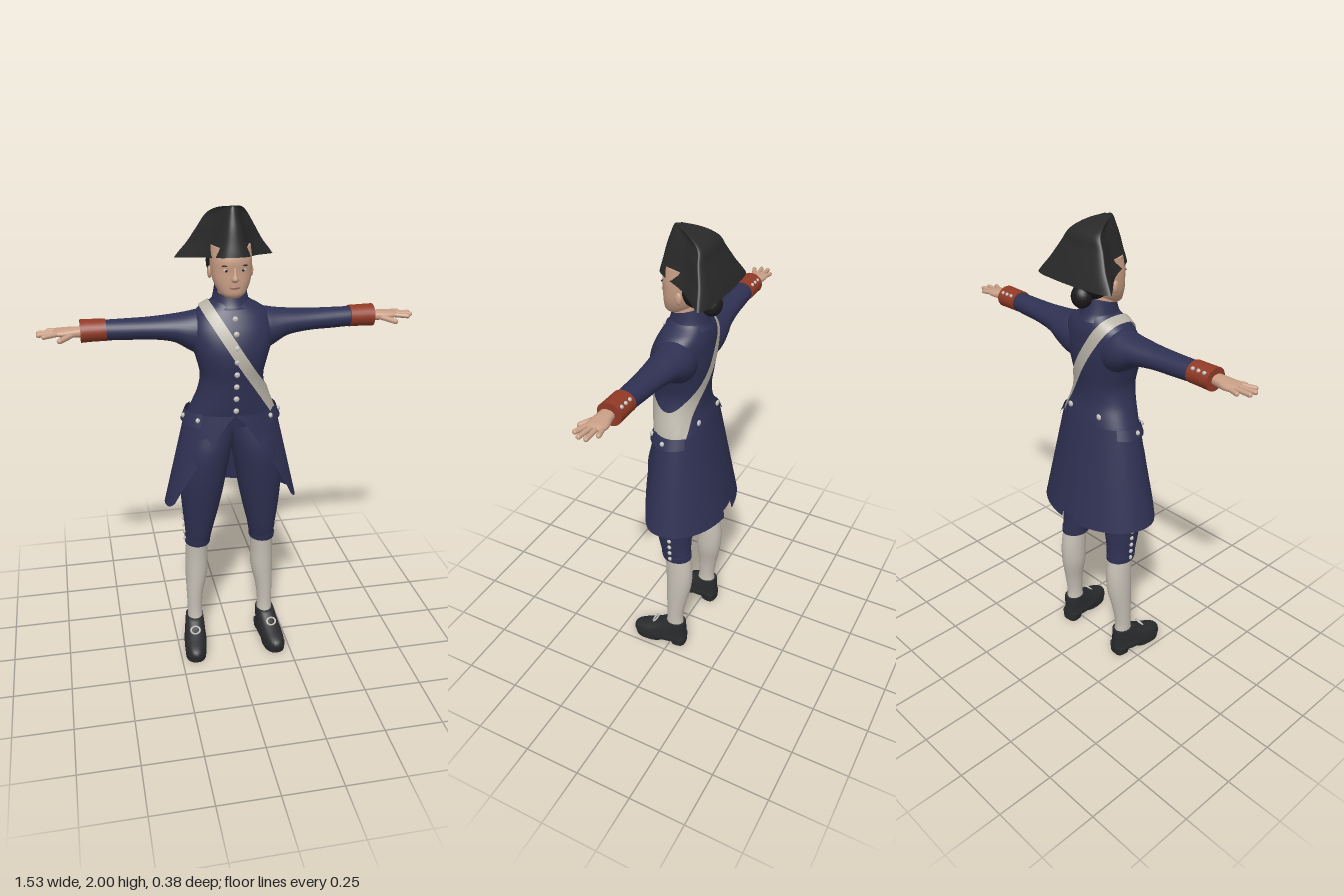
import * as THREE from 'three';
import { toCreasedNormals } from 'three/addons/utils/BufferGeometryUtils.js';

const mat = (name, color, side = THREE.FrontSide) => {
  const m = new THREE.MeshStandardMaterial({ color, side });
  m.name = name;
  return m;
};
const V = (x, y, z) => new THREE.Vector3(x, y, z);

// Smooth lookup in rows keyed by their first column
function at(rows, k) {
  let i = 0;
  while (i < rows.length - 2 && k > rows[i + 1][0]) i++;
  const a = rows[Math.max(i - 1, 0)], b = rows[i], c = rows[i + 1], d = rows[Math.min(i + 2, rows.length - 1)];
  const h = c[0] - b[0], t = (k - b[0]) / h;
  return b.map((p, j) => {
    const m0 = (c[j] - a[j]) / (c[0] - a[0]) * h, m1 = (d[j] - p) / (d[0] - b[0]) * h, e = c[j] - p;
    return p + t * (m0 + t * (3 * e - 2 * m0 - m1 + t * (m0 + m1 - 2 * e)));
  });
}

// Point on an oval section: row = [key, min, max, zBack, zFront]
function onOval(r, phi, p = 2, alongX = false) {
  const f = v => Math.sign(v) * Math.abs(v) ** (2 / p);
  const s = f(Math.sin(phi)), c = f(Math.cos(phi));
  const mix = (lo, hi, v) => (lo + hi) / 2 + (hi - lo) / 2 * v;
  return alongX ? V(r[0], mix(r[1], r[2], c), mix(r[3], r[4], s))
    : V(mix(r[1], r[2], s), r[0], mix(r[3], r[4], c));
}

// Skin over rows of points; closed skins get end caps
function skin(rings, closed = true) {
  const n = rings[0].length, pos = [], put = (...ps) => ps.forEach(p => pos.push(p.x, p.y, p.z));
  for (let j = 0; j < rings.length - 1; j++) {
    for (let i = 0; i < (closed ? n : n - 1); i++) {
      const k = (i + 1) % n, a = rings[j][i], b = rings[j][k], c = rings[j + 1][k], d = rings[j + 1][i];
      put(a, b, c, a, c, d);
    }
  }
  if (closed) {
    [rings[0], rings[rings.length - 1]].forEach((r, end) => {
      const m = r.reduce((s, p) => s.add(p), V(0, 0, 0)).divideScalar(n);
      r.forEach((p, i) => end ? put(p, r[(i + 1) % n], m) : put(r[(i + 1) % n], p, m));
    });
  }
  const g = new THREE.BufferGeometry();
  g.setAttribute('position', new THREE.Float32BufferAttribute(pos, 3));
  g.scale(100, 100, 100); // crease matching works on a coarse grid
  return toCreasedNormals(g, 0.9).scale(0.01, 0.01, 0.01);
}

function loft(rows, { steps = 24, n = 32, p = 2, alongX = false } = {}) {
  const k0 = rows[0][0], k1 = rows[rows.length - 1][0];
  return skin(Array.from({ length: steps + 1 }, (_, j) => {
    const r = at(rows, k0 + (k1 - k0) * j / steps);
    return Array.from({ length: n }, (_, i) => onOval(r, i / n * Math.PI * 2, p, alongX));
  }));
}

// Open sheet from a function of u, v in 0..1
const sheet = (f, nu, nv) => skin(Array.from({ length: nv + 1 }, (_, j) =>
  Array.from({ length: nu + 1 }, (_, i) => f(i / nu, j / nv))), false);

const ball = (x, y, z, rx, ry = rx, rz = rx, n = 16) =>
  new THREE.SphereGeometry(1, n, Math.max(6, Math.floor(n * 0.6))).scale(rx, ry, rz).translate(x, y, z);

function finger(a, b, r) {
  const d = b.clone().sub(a);
  return new THREE.CapsuleGeometry(r, d.length(), 4, 10)
    .applyQuaternion(new THREE.Quaternion().setFromUnitVectors(V(0, 1, 0), d.clone().normalize()))
    .translate((a.x + b.x) / 2, (a.y + b.y) / 2, (a.z + b.z) / 2);
}

// Copy across x = 0, with the winding turned back outwards
function mirrored(geo) {
  const g = geo.index ? geo.toNonIndexed() : geo.clone();
  for (const a of Object.values(g.attributes)) {
    for (let i = 0; i < a.count; i += 3) {
      for (let c = 0; c < a.itemSize; c++) {
        const t = a.getComponent(i + 1, c);
        a.setComponent(i + 1, c, a.getComponent(i + 2, c));
        a.setComponent(i + 2, c, t);
      }
    }
  }
  for (const a of [g.attributes.position, g.attributes.normal]) {
    for (let i = 0; i < a.count; i++) a.setX(i, -a.getX(i));
  }
  return g;
}

const TORSO = [[1.12, .186, -.11, .112], [1.16, .182, -.108, .118], [1.2, .166, -.1, .124], [1.26, .142, -.086, .13],
  [1.33, .13, -.085, .137], [1.4, .145, -.094, .147], [1.46, .162, -.1, .144], [1.52, .168, -.1, .128], [1.57, .155, -.098, .105],
  [1.6, .13, -.09, .088], [1.625, .085, -.08, .072], [1.645, .062, -.072, .06]].map(([y, w, b, f]) => [y, -w, w, b, f]);

export function createModel() {
  const root = new THREE.Group();
  const navy = mat('navy cloth', 0x2f3153, THREE.DoubleSide), red = mat('red cuff', 0x913a26);
  const skinTone = mat('skin', 0xc99f86), white = mat('stocking white', 0xc6c0b5);
  const strap = mat('strap white', 0xbab5a9, THREE.DoubleSide), black = mat('black felt', 0x292929);
  const dark = mat('dark hair', 0x1d1b1b), leather = mat('shoe leather', 0x2a2b2d);
  const silver = mat('silver', 0xc2c0bc), lip = mat('lips', 0xa06a5a);
  const add = (name, geo, m) => {
    const mesh = new THREE.Mesh(geo, m);
    mesh.name = name;
    root.add(mesh);
  };
  const pair = (name, geo, m) => {
    add(name + 'Left', geo, m);
    add(name + 'Right', mirrored(geo), m);
  };

  // Coat body and standing collar
  add('coatBody', loft(TORSO, { steps: 44, n: 48, p: 2.2 }), navy);
  add('collar', sheet((u, v) => {
    const phi = u * Math.PI * 2, r = .086 - .022 * Math.sqrt(v);
    return V(r * Math.sin(phi), 1.61 + v * (.07 - .022 * Math.cos(phi)), -.003 + r * 1.08 * Math.cos(phi));
  }, 40, 6), navy);

  // Coat skirts, cut away in front and vented behind
  const skirt = (phi, s, grow) => {
    const w = .186 + .1 * s + grow, z = Math.cos(phi);
    return V(w * Math.sin(phi), 1.175 - s * (.433 - .012 * z), z * ((z > 0 ? .12 + .05 * s : .112 + .08 * s) + grow));
  };
  pair('coatSkirt', sheet((u, v) => {
    const s = 1 - v, a = 1.12 * s ** 0.75, b = Math.PI - .13 * s;
    return skirt(a + (b - a) * u, s - .05 * s * Math.max(0, 1 - u * 9) ** 2, .003);
  }, 40, 20), navy);
  add('ventPleat', sheet((u, v) => skirt(Math.PI + (u - .5) * .7, (1 - v) * .97, -.012), 8, 10), navy);
  pair('pocketFlap', sheet((u, v) => skirt(.75 + 1.4 * u, .13 * (1 - v) * (1 - .25 * u) - .01, .007 + .008 * (1 - v)), 16, 3), navy);

  // Sleeves, cuffs and hands
  pair('sleeve', loft([[.08, 1.4, 1.59, -.085, .075], [.13, 1.41, 1.594, -.092, .078], [.18, 1.438, 1.585, -.088, .07],
    [.23, 1.468, 1.579, -.078, .06], [.32, 1.484, 1.573, -.064, .049], [.42, 1.488, 1.572, -.055, .043],
    [.51, 1.492, 1.572, -.048, .04]], { alongX: true, steps: 30 }), navy);
  pair('cuff', loft([[.497, 1.49, 1.577, -.053, .046], [.55, 1.49, 1.578, -.053, .046], [.597, 1.488, 1.579, -.053, .047]],
    { alongX: true, steps: 4 }), red);
  pair('hand', loft([[.58, 1.514, 1.552, -.022, .03], [.62, 1.513, 1.552, -.03, .034], [.66, 1.517, 1.549, -.041, .038],
    [.69, 1.522, 1.546, -.04, .035], [.7, 1.527, 1.541, -.034, .029]], { alongX: true, steps: 14, p: 2.4 }), skinTone);
  [[.69, .027, .737, .045], [.695, .009, .757, .018], [.695, -.012, .757, -.012], [.685, -.031, .72, -.038]].forEach(
    ([x0, z0, x1, z1]) => pair('finger', finger(V(x0, 1.534, z0), V(x1, 1.532, z1), .0095), skinTone));
  pair('thumb', finger(V(.63, 1.528, .026), V(.678, 1.518, .064), .011), skinTone);

  // Shoulder strap wrapped around the torso on a slanted plane
  const strapPoint = (phi, d) => {
    const P = (y, turn = 0) => onOval(at(TORSO, y), phi + turn, 2.2);
    let lo = 1.12, hi = 1.645;
    for (let i = 0; i < 30; i++) {
      const y = (lo + hi) / 2;
      if (y + 1.6 * P(y).x < 1.45 + d) lo = y; else hi = y;
    }
    const across = P(lo, .02).sub(P(lo, -.02)), up = P(lo + .003).sub(P(lo - .003));
    return P(lo).addScaledVector(across.cross(up).normalize(), .007);
  };
  add('shoulderStrap', sheet((u, v) => strapPoint(u * Math.PI * 2 + .01, (v - .5) * .085), 96, 4), strap);

  // Breeches, stockings and shoes
  pair('breeches', loft([[.53, .092, .2, -.082, .045], [.6, .08, .203, -.08, .065], [.7, .056, .213, -.085, .085],
    [.8, .035, .22, -.095, .105], [.9, .018, .218, -.1, .12], [1, 0, .205, -.1, .128], [1.08, -.02, .185, -.098, .118],
    [1.15, -.03, .165, -.09, .105]], { steps: 28 }), navy);
  pair('kneeBand', loft([[.525, .091, .203, -.085, .047], [.55, .089, .205, -.085, .053]], { steps: 2 }), navy);
  pair('stocking', loft([[.08, .13, .2, -.06, .04], [.12, .13, .199, -.056, .028], [.17, .132, .198, -.053, .022],
    [.25, .125, .2, -.066, .024], [.36, .103, .202, -.088, .028], [.45, .1, .2, -.092, .03], [.54, .1, .196, -.08, .036]]), white);
  const turnOut = g => g.translate(-.165, 0, 0).rotateY(.11).translate(.168, 0, 0);
  pair('shoe', turnOut(loft([[.022, .118, .214, -.068, .188], [.04, .115, .217, -.07, .19], [.06, .118, .214, -.07, .175],
    [.08, .12, .212, -.069, .125], [.1, .122, .21, -.068, .08], [.13, .126, .206, -.066, .035]], { p: 2.3, steps: 16 })), leather);
  pair('sole', turnOut(loft([[0, .12, .213, .035, .18], [.03, .117, .216, 0, .19]], { p: 2.4, steps: 3 })), leather);
  pair('heel', turnOut(loft([[0, .128, .204, -.068, 0], [.04, .122, .21, -.07, .012]], { p: 3, steps: 3 })), leather);
  pair('shoeBuckle', turnOut(new THREE.TorusGeometry(.017, .004, 6, 16).scale(1.2, 1, 1).rotateX(-.75).translate(.166, .107, .083)), silver);

  // Buttons
  for (let i = 0; i < 8; i++) {
    const y = 1.2 + i * .054;
    add('frontButton', ball(0, y, at(TORSO, y)[4] + .003, .012, .012, .007, 12), silver);
  }
  for (let i = 0; i < 5; i++) pair('kneeButton', ball(.203 + i * .002, .545 + i * .035, -.012, .007, .01, .01, 10), silver);
  for (let i = 0; i < 3; i++) pair('cuffButton', ball(.52 + i * .027, 1.562, -.04, .009, .008, .008, 10), silver);
  pair('backButton', ball(.085, 1.22, -.091, .013, .013, .007, 12), silver);
  for (const phi of [.85, 1.45]) {
    const p = skirt(phi, .05, .012);
    pair('flapButton', ball(p.x, p.y, p.z, .01, .011, .01, 10), silver);
  }

  // Head and face
  add('neck', new THREE.CylinderGeometry(.05, .055, .12, 24).translate(0, 1.65, .005), skinTone);
  add('head', loft([[1.655, -.028, .028, .03, .082], [1.668, -.048, .048, 0, .093], [1.69, -.063, .063, -.03, .096],
    [1.72, -.075, .075, -.05, .097], [1.76, -.081, .081, -.07, .097], [1.8, -.082, .082, -.08, .099],
    [1.85, -.078, .078, -.08, .085]], { p: 2.2 }), skinTone);
  add('nose', loft([[1.721, -.01, .01, .07, .1], [1.73, -.016, .016, .07, .115], [1.75, -.01, .01, .07, .109],
    [1.778, -.008, .008, .07, .099]], { n: 16, steps: 10 }), skinTone);
  pair('ear', ball(.083, 1.745, 0, .009, .025, .015), skinTone);
  pair('eye', ball(.033, 1.767, .089, .013, .006, .005, 12), white);
  pair('pupil', ball(.033, 1.767, .0935, .005, .005, .002, 10), dark);
  pair('brow', ball(.034, 1.785, .09, .018, .0035, .005, 10), dark);
  add('mouth', ball(0, 1.7, .094, .022, .006, .005, 12), lip);
  add('hair', ball(0, 1.775, -.047, .089, .085, .075, 28), dark);
  add('hairBun', ball(0, 1.71, -.1, .044, .046, .04, 24), dark);

  // Cocked hat: rounded triangular sections rising to a forward peak
  const HAT = [[1.79, .203, .112, -.165], [1.81, .188, .108, -.158], [1.85, .154, .099, -.142], [1.91, .115, .086, -.115],
    [1.96, .081, .071, -.092], [1.988, .05, .062, -.03], [2, .02, .056, .035]];
  add('cockedHat', skin(Array.from({ length: 25 }, (_, j) => {
    const [y, w, f, b] = at(HAT, 1.79 + .21 * j / 24), d = f - b;
    const half = [[.22, .95], [.55, .48], [.92, .17], [1, .09], [.88, .04], [.45, .01]].map(([x, z]) => [x * w, b + z * d]);
    const pts = [[0, f], ...half, [0, b], ...half.map(([x, z]) => [-x, z]).reverse()].map(([x, z]) => V(x, y, z));
    const ring = new THREE.CatmullRomCurve3(pts, true).getPoints(64).slice(0, 64);
    ring.forEach(p => { p.y += (.03 - .05 * Math.min(1, (f - p.z) / d)) * (1 - j / 24); });
    return ring;
  })), black);

  return root;
}
